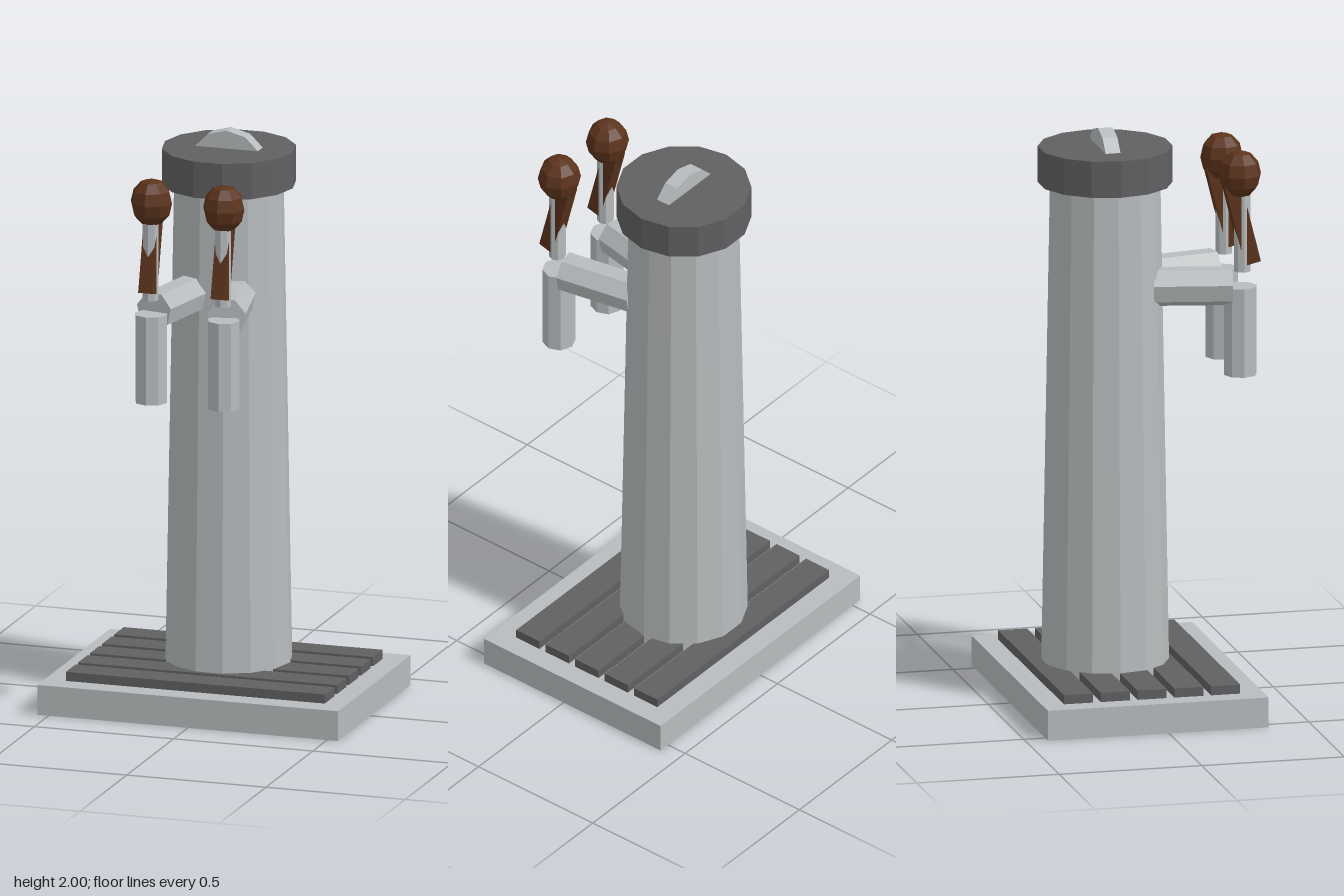
import * as THREE from 'three';

export function createModel() {
  const model = new THREE.Group();
  const material = (name, color) => {
    const m = new THREE.MeshStandardMaterial({ color, flatShading: true });
    m.name = name;
    return m;
  };
  const steel = material('brushed steel', 0xb8bcbe);
  const dark = material('dark grey', 0x606062);
  const wood = material('brown wood', 0x5c331c);

  const add = (parent, name, geometry, mat, x, y, z) => {
    const mesh = new THREE.Mesh(geometry, mat);
    mesh.name = name;
    mesh.position.set(x, y, z);
    parent.add(mesh);
    return mesh;
  };

  // Drip tray with five slats
  add(model, 'trayBase', new THREE.BoxGeometry(1.08, 0.105, 0.774), steel, 0, 0.0525, -0.038);
  for (let i = 0; i < 5; i++) {
    add(model, 'traySlat', new THREE.BoxGeometry(0.93, 0.034, 0.102), dark, 0, 0.12, -0.299 + i * 0.129);
  }

  // Tapered column, its cap and the half-sunk disc on top
  const towerZ = -0.09;
  const column = new THREE.CylinderGeometry(0.188, 0.218, 1.72, 14).rotateY(Math.PI / 2);
  add(model, 'column', column, steel, 0, 0.965, towerZ);
  const cap = new THREE.CylinderGeometry(0.23, 0.23, 0.127, 14).rotateY(Math.PI / 2);
  add(model, 'cap', cap, dark, 0, 1.8735, towerZ);
  const disc = new THREE.CylinderGeometry(0.136, 0.136, 0.052, 12).rotateX(Math.PI / 2);
  add(model, 'capDisc', disc, steel, 0, 1.864, towerZ);

  // Two taps, splayed outwards
  for (const side of [-1, 1]) {
    const tap = new THREE.Group();
    tap.name = side < 0 ? 'rightTap' : 'leftTap';
    model.add(tap);
    const x = side * 0.13, z = 0.352;

    // Arm from the column to the spout
    const arm = new THREE.CylinderGeometry(0.068, 0.068, 0.27, 7).rotateX(Math.PI / 2);
    add(tap, 'arm', arm, steel, side * 0.104, 1.452, 0.191).rotation.y = side * 0.195;

    add(tap, 'spout', new THREE.CylinderGeometry(0.057, 0.057, 0.31, 8), steel, x, 1.295, z);

    // Lever with a leaning wooden grip and a faceted knob
    add(tap, 'leverRod', new THREE.CylinderGeometry(0.029, 0.029, 0.32, 8), steel, x, 1.662, z + 0.007);
    const grip = new THREE.BoxGeometry(0.05, 0.29, 0.057);
    add(tap, 'leverGrip', grip, wood, x, 1.672, z + 0.003).rotation.x = -0.245;
    const knob = new THREE.SphereGeometry(0.074, 8, 6).scale(1, 1.12, 1);
    add(tap, 'leverKnob', knob, wood, x, 1.843, z - 0.002);
  }

  return model;
}
